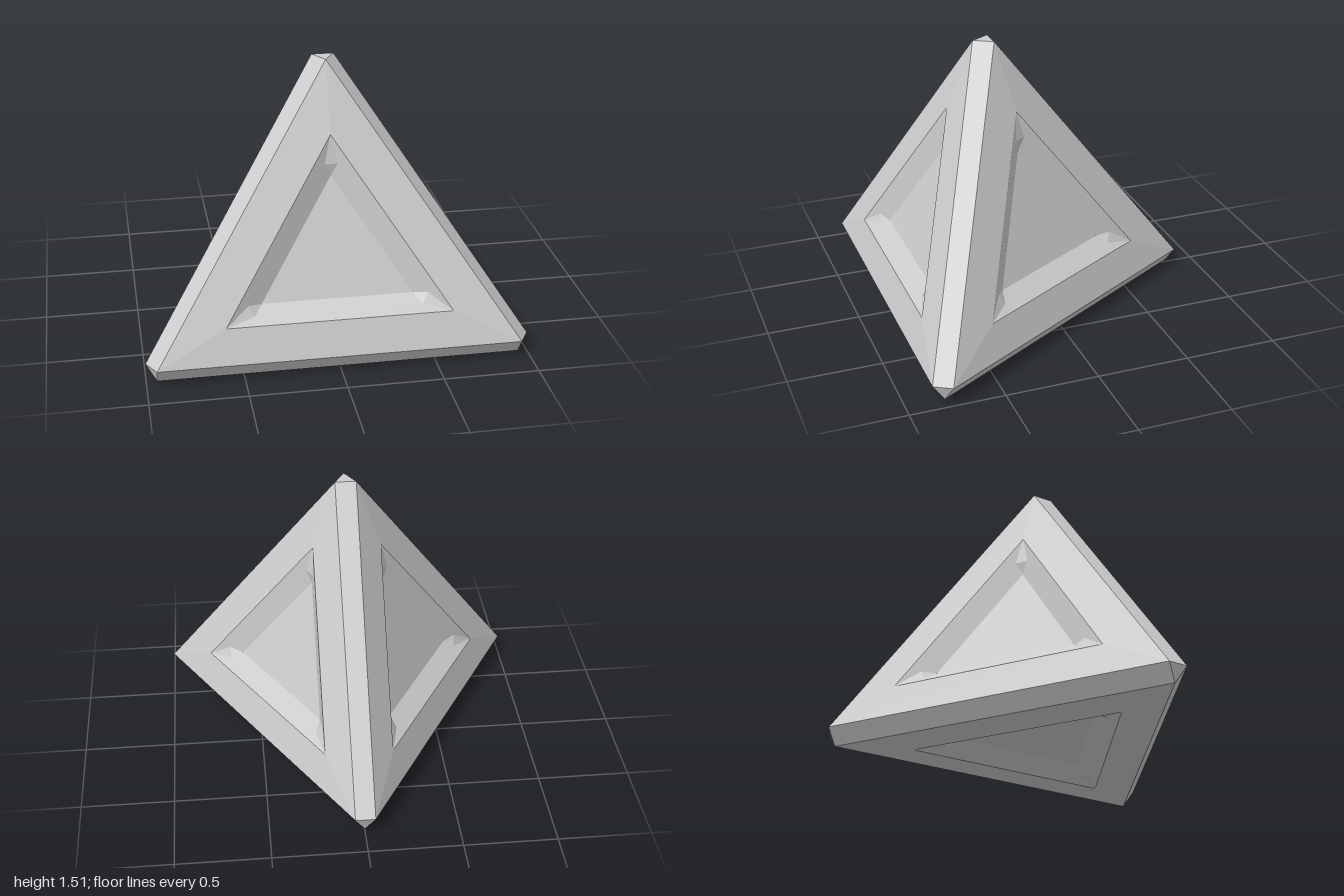
import * as THREE from 'three';

const material = new THREE.MeshStandardMaterial({ color: 0xcccccc, flatShading: true });
const V = (x, y, z) => new THREE.Vector3(x, y, z);

// Turns convex polygons (corners counter-clockwise from outside) into a mesh.
function polygonMesh(name, polygons) {
  const points = [];
  for (const p of polygons) {
    for (let i = 1; i < p.length - 1; i++) points.push(p[0], p[i], p[i + 1]);
  }
  const geometry = new THREE.BufferGeometry().setFromPoints(points);
  geometry.computeVertexNormals();
  const mesh = new THREE.Mesh(geometry, material);
  mesh.name = name;
  return mesh;
}

// A triangular face: slightly raised border, sloping recess walls,
// filled-in recess corners and a flat floor.
function recessedFace(name, corners) {
  const [a, b, c] = corners;
  const normal = b.clone().sub(a).cross(c.clone().sub(a)).normalize();
  const centre = a.clone().add(b).add(c).divideScalar(3);
  const ring = (scale, height) => corners.map((p) =>
    centre.clone().lerp(p, scale).addScaledVector(normal, height));
  const rim = ring(0.622, 0.012);
  const floor = ring(0.416, -0.057);

  // Point on the wall beside the crease of corner i, towards corner j
  const beside = (i, j) => rim[i].clone().lerp(floor[i], 0.45)
    .addScaledVector(rim[j].clone().sub(rim[i]).normalize(), 0.065);

  const border = [], walls = [], fillets = [];
  for (let i = 0; i < 3; i++) {
    const j = (i + 1) % 3, h = (i + 2) % 3;
    const next = beside(i, j), previous = beside(i, h), far = beside(j, i);
    border.push([corners[i], corners[j], rim[j], rim[i]]);
    walls.push([next, rim[i], rim[j], far, floor[j], floor[i]]);
    fillets.push([rim[i], next, previous], [floor[i], previous, next]);
  }
  const group = new THREE.Group();
  group.name = name;
  group.add(
    polygonMesh('faceBorder', border),
    polygonMesh('recessWalls', walls),
    polygonMesh('recessCornerFillets', fillets),
    polygonMesh('recessFloor', [floor]),
  );
  return group;
}

export function createModel() {
  const model = new THREE.Group();
  model.name = 'bevelledTetrahedron';
  const up = V(0, 1, 0);

  // Corners of one side, repeated three times around the vertical axis
  const sides = [0, 1, 2].map((k) => {
    const turn = (p) => p.applyAxisAngle(up, k * Math.PI * 2 / 3);
    return {
      left: turn(V(-0.946, 0.1, 0.608)),
      right: turn(V(0.946, 0.1, 0.608)),
      apex: turn(V(0, 1.515, 0.066)),
      foot: turn(V(0.945, 0.012, 0.546)),
    };
  });

  const sideBevels = [], baseBevels = [], cornerCaps = [];
  sides.forEach((s, k) => {
    const next = sides[(k + 1) % 3], previous = sides[(k + 2) % 3];
    model.add(recessedFace('sideFace' + (k + 1), [s.left, s.right, s.apex]));
    sideBevels.push([s.right, next.left, next.apex, s.apex]);
    baseBevels.push([previous.foot, s.foot, s.right, s.left]);
    cornerCaps.push([s.right, s.foot, next.left]);
  });
  cornerCaps.push(sides.map((s) => s.apex));

  model.add(
    recessedFace('baseFace', [sides[0].foot, sides[2].foot, sides[1].foot]),
    polygonMesh('sideBevels', sideBevels),
    polygonMesh('baseBevels', baseBevels),
    polygonMesh('cornerCaps', cornerCaps),
  );

  // Centre the depth: the vertical axis lies forward of the middle
  for (const part of model.children) part.position.z = 0.255;
  return model;
}
